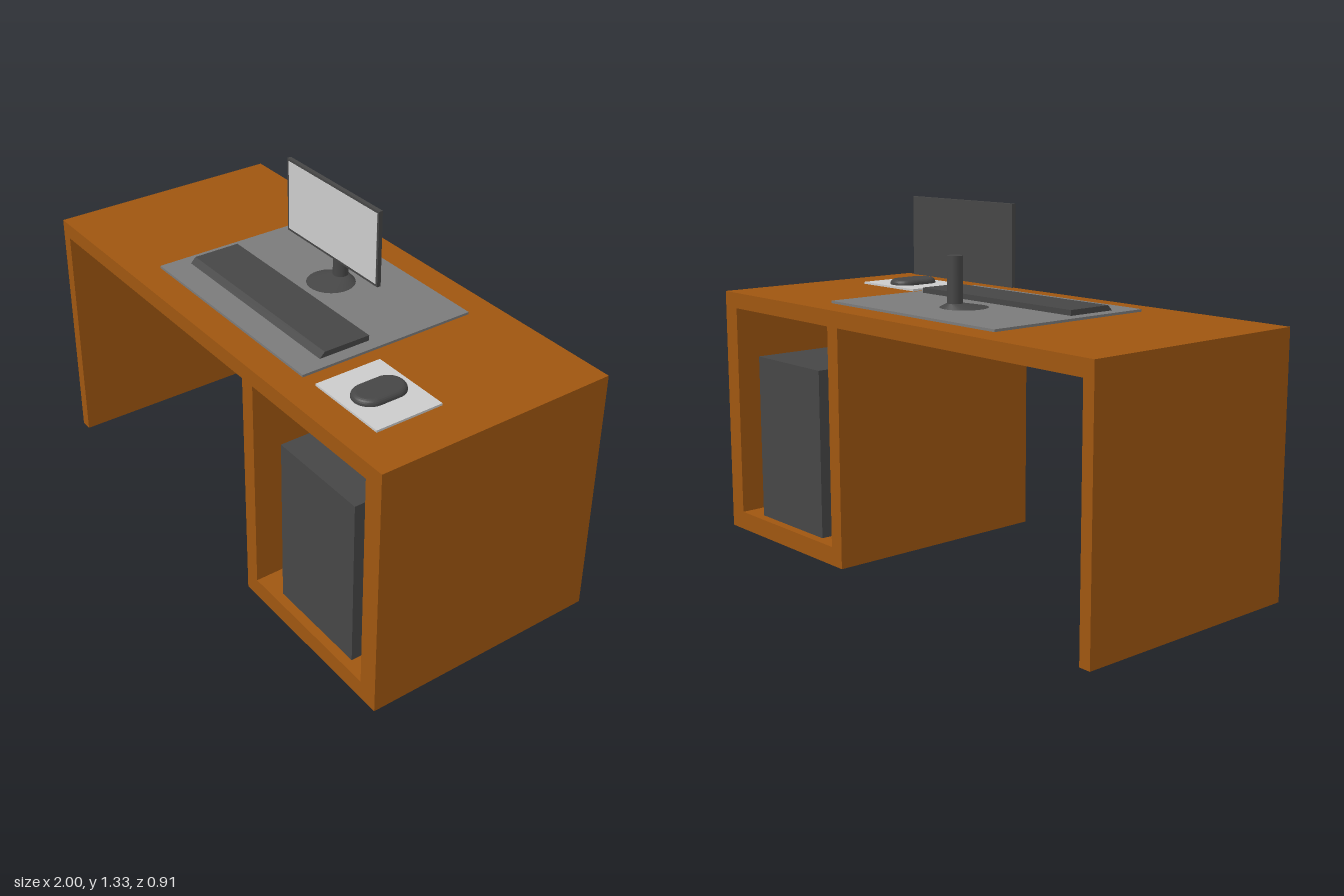
import * as THREE from 'three';

const mat = (color) => new THREE.MeshStandardMaterial({ color });
const DESK_TOP = 0.945, MAT_TOP = 0.954;

export function createModel() {
  const root = new THREE.Group();
  const wood = mat(0x9f5610), dark = mat(0x464646), midGrey = mat(0x7b7b7b), grey = mat(0xcccccc);

  const add = (name, geometry, material) => {
    const mesh = new THREE.Mesh(geometry, material);
    mesh.name = name;
    root.add(mesh);
    return mesh;
  };
  // box from its minimum and maximum corners
  const box = (name, [x0, y0, z0], [x1, y1, z1], material) =>
    add(name, new THREE.BoxGeometry(x1 - x0, y1 - y0, z1 - z0), material)
      .position.set((x0 + x1) / 2, (y0 + y1) / 2, (z0 + z1) / 2);
  const points = (list) => list.map(([x, y]) => new THREE.Vector2(x, y));

  // Desk: front outline with the open cabinet as a hole, run through the depth
  const outline = new THREE.Shape(points([
    [-1, 0], [-0.955, 0], [-0.955, 0.885], [0.26, 0.885],
    [0.26, 0], [1, 0], [1, DESK_TOP], [-1, DESK_TOP],
  ]));
  outline.holes.push(new THREE.Path(points([
    [0.32, 0.07], [0.32, 0.885], [0.925, 0.885], [0.925, 0.07],
  ])));
  const desk = new THREE.ExtrudeGeometry(outline, { depth: 0.91, bevelEnabled: false });
  add('desk', desk.translate(0, 0, -0.455), wood);

  // Computer tower in the cabinet
  box('computerTower', [0.43, 0.07, -0.42], [0.83, 0.705, 0.42], dark);

  // Mats on the desktop
  box('deskMat', [-0.447, DESK_TOP, -0.345], [0.447, MAT_TOP, 0.345], midGrey);
  box('mousePad', [0.51, DESK_TOP, 0.085], [0.825, MAT_TOP - 0.001, 0.34], grey);

  // Keyboard: side profile (z, y) with a sloped front edge
  const side = new THREE.Shape(points([
    [-0.245, MAT_TOP], [-0.045, MAT_TOP], [-0.045, 0.974], [-0.225, 0.974],
  ]));
  const keyboard = new THREE.ExtrudeGeometry(side, { depth: 0.8, bevelEnabled: false });
  add('keyboard', keyboard.rotateY(Math.PI / 2).translate(-0.4, 0, 0), dark);

  // Mouse: capsule outline with a rounded upper edge, lower bevel sunk in the pad
  const bevel = 0.018, r = 0.06 - bevel, half = 0.038;
  const capsule = new THREE.Shape();
  capsule.absarc(0, half, r, 0, Math.PI);
  capsule.absarc(0, -half, r, Math.PI, Math.PI * 2);
  const mouse = new THREE.ExtrudeGeometry(capsule, {
    depth: 0.004, bevelSize: bevel, bevelThickness: bevel, bevelSegments: 5, curveSegments: 16,
  });
  mouse.rotateX(-Math.PI / 2).translate(0.665, 0.974 - 0.004 - bevel, 0.208);
  add('mouse', mouse, dark);

  // Monitor base: cone frustum leaning back toward the column
  const base = new THREE.CylinderGeometry(0.03, 0.088, 0.018, 40);
  const p = base.attributes.position;
  for (let i = 0; i < p.count; i++) if (p.getY(i) > 0) p.setZ(i, p.getZ(i) - 0.042);
  base.computeVertexNormals();
  add('monitorBase', base.translate(0, MAT_TOP + 0.009, -0.09), dark);

  // Monitor column, panel and screen
  add('monitorColumn', new THREE.CylinderGeometry(0.028, 0.028, 0.18, 32), dark)
    .position.set(0, 1.05, -0.132);
  box('monitorPanel', [-0.265, 1.049, -0.104], [0.265, 1.331, -0.089], dark);
  box('monitorScreen', [-0.256, 1.058, -0.092], [0.256, 1.322, -0.088], grey);

  return root;
}
